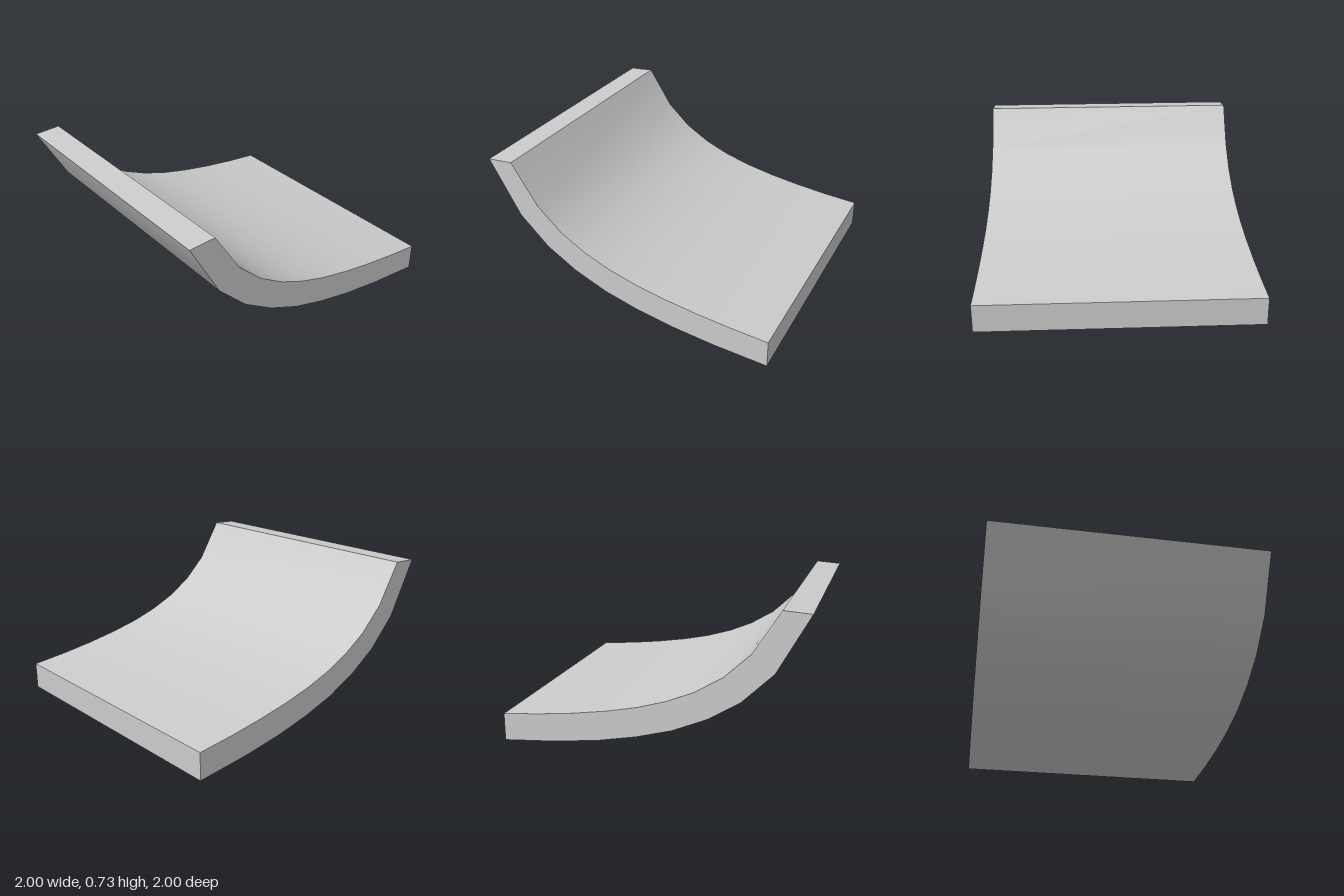
import * as THREE from 'three';
import { toCreasedNormals } from 'three/addons/utils/BufferGeometryUtils.js';

const LENGTH = 1.464, WIDTH = 1.365;

// Curve points: distance along the panel (0 lip, 1.035 flat end) and height
const outer = [[0, 0.719], [0.108, 0.445], [0.212, 0.302], [0.32, 0.207], [0.437, 0.136],
  [0.557, 0.088], [0.69, 0.05], [0.848, 0.021], [1.035, 0]];
const inner = [[1.035, 0.136], [0.905, 0.152], [0.785, 0.172], [0.665, 0.199], [0.555, 0.232],
  [0.455, 0.275], [0.363, 0.33], [0.27, 0.41], [0.183, 0.525], [0.092, 0.728]];

export function createModel() {
  const group = new THREE.Group();

  // Curved slab: one profile swept straight across its width
  const profile = new THREE.Shape([...outer, ...inner].map(
    ([d, y]) => new THREE.Vector2((d / 1.035 - 0.5) * LENGTH, y)));
  const slab = new THREE.ExtrudeGeometry(profile, { depth: WIDTH, bevelEnabled: false });
  slab.translate(0, 0, -WIDTH / 2);
  slab.deleteAttribute('uv');

  const panel = new THREE.Mesh(toCreasedNormals(slab, 0.6),
    new THREE.MeshStandardMaterial({ color: 0xcccccc }));
  panel.name = 'curvedPanel';

  // Turned diagonally, with a very slight sideways tilt
  panel.rotation.set(0.005, Math.PI / 4, 0, 'YXZ');
  panel.position.y = 0.0034;
  group.add(panel);
  return group;
}
